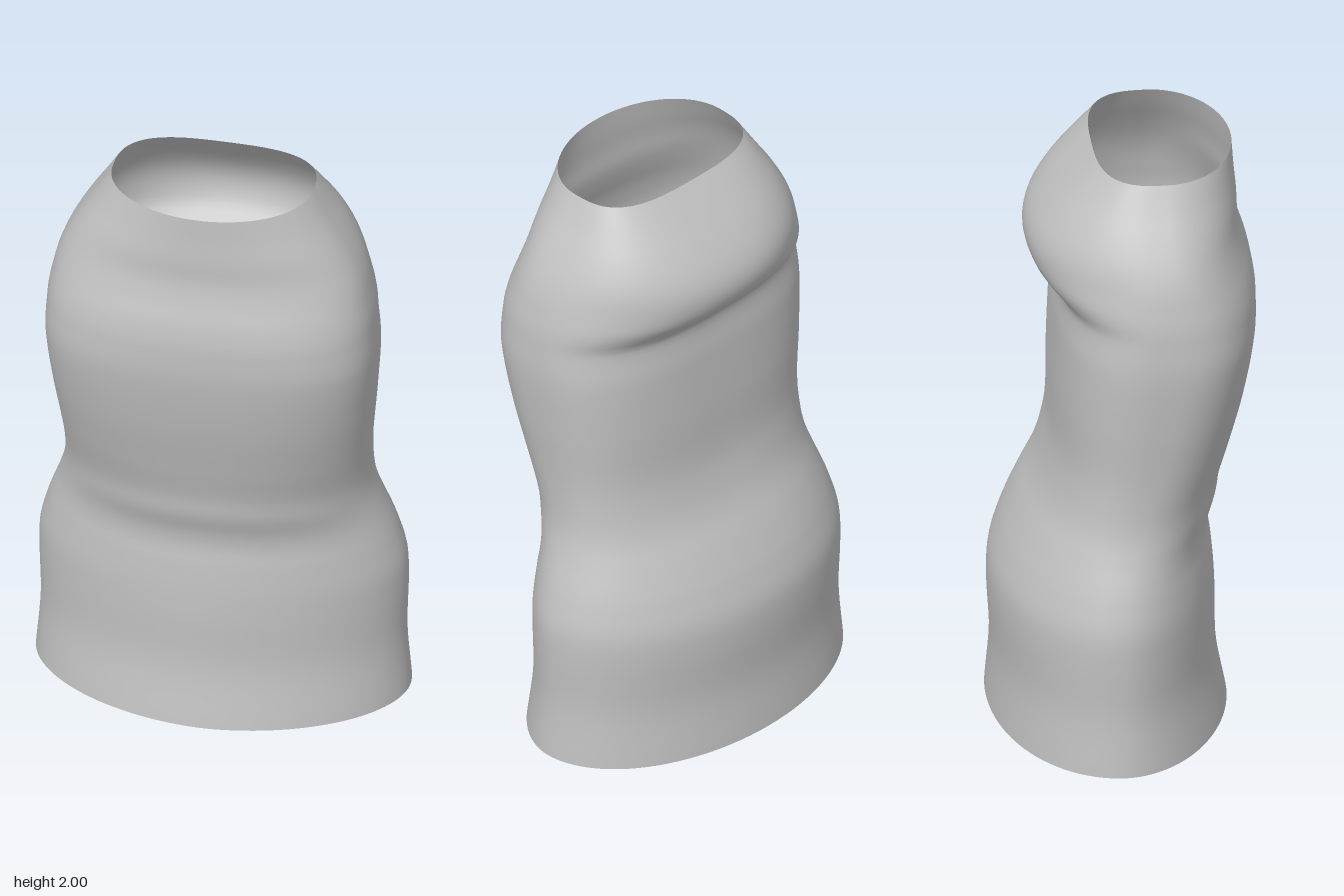
import * as THREE from 'three';

// Outline by height: y, half width, front z, back z
const OUTLINE = [
  [0, 0.615, 0.345, -0.43], [0.2, 0.6, 0.31, -0.415], [0.4, 0.604, 0.305, -0.424],
  [0.5, 0.6, 0.3, -0.418], [0.6, 0.575, 0.29, -0.385], [0.66, 0.555, 0.282, -0.358],
  [0.72, 0.533, 0.287, -0.328], [0.8, 0.51, 0.31, -0.285], [0.88, 0.502, 0.32, -0.255],
  [1, 0.505, 0.35, -0.23], [1.2, 0.525, 0.397, -0.224], [1.4, 0.54, 0.428, -0.215],
  [1.53, 0.534, 0.43, -0.208], [1.57, 0.53, 0.425, -0.24], [1.62, 0.52, 0.415, -0.285],
  [1.69, 0.503, 0.393, -0.308], [1.76, 0.475, 0.377, -0.293], [1.84, 0.43, 0.374, -0.24],
  [1.92, 0.378, 0.367, -0.168], [2, 0.33, 0.362, -0.09],
];

// Section shape by height: y, z of widest point, front and back roundness exponents
const SECTION = [
  [0, -0.04, 1.85, 2], [0.5, -0.04, 1.9, 2], [0.8, 0, 2.1, 2.2], [1.05, 0.06, 2.4, 2.5],
  [1.4, 0.12, 2.6, 2.7], [1.55, 0.12, 2.5, 2.5], [1.7, 0.12, 2.3, 2.15], [2, 0.12, 2, 3],
];

// Smooth interpolation of a table whose first column is the height
function sample(table, y) {
  const last = table.length - 1;
  let i = 0;
  while (i < last - 1 && y > table[i + 1][0]) i++;
  const h = table[i + 1][0] - table[i][0];
  const t = (y - table[i][0]) / h;
  const slope = (k, c) => {
    const a = table[Math.max(k - 1, 0)], b = table[Math.min(k + 1, last)];
    return (b[c] - a[c]) / (b[0] - a[0]);
  };
  return table[i].slice(1).map((v, k) => {
    const c = k + 1, t2 = t * t, t3 = t2 * t;
    return v * (2 * t3 - 3 * t2 + 1) + table[i + 1][c] * (3 * t2 - 2 * t3)
      + h * (slope(i, c) * (t3 - 2 * t2 + t) + slope(i + 1, c) * (t3 - t2));
  });
}

const power = (v, n) => Math.sign(v) * Math.pow(Math.abs(v), 2 / n);

export function createModel() {
  const group = new THREE.Group();
  group.name = 'garment';
  const rows = 100, cols = 96;
  const positions = [], index = [];

  // Stack rounded cross-sections from hem to neck opening
  for (let i = 0; i <= rows; i++) {
    const y = (2 * i) / rows;
    const [width, front, back] = sample(OUTLINE, y);
    const [mid, frontN, backN] = sample(SECTION, y);
    for (let j = 0; j < cols; j++) {
      const a = (j / cols) * Math.PI * 2;
      const s = Math.sin(a), c = Math.cos(a);
      const n = c >= 0 ? frontN : backN;
      const depth = c >= 0 ? front - mid : mid - back;
      positions.push(width * power(s, n), y, mid + depth * power(c, n));
      if (i < rows) {
        const p = i * cols + j, q = i * cols + ((j + 1) % cols);
        index.push(p, q, q + cols, p, q + cols, p + cols);
      }
    }
  }
  const geometry = new THREE.BufferGeometry();
  geometry.setAttribute('position', new THREE.Float32BufferAttribute(positions, 3));
  geometry.setIndex(index);
  geometry.computeVertexNormals();

  const fabric = new THREE.MeshStandardMaterial({ color: 0xc0c0c0, side: THREE.DoubleSide });
  fabric.name = 'grey fabric';
  const shell = new THREE.Mesh(geometry, fabric);
  shell.name = 'torsoShell';
  group.add(shell);
  return group;
}
